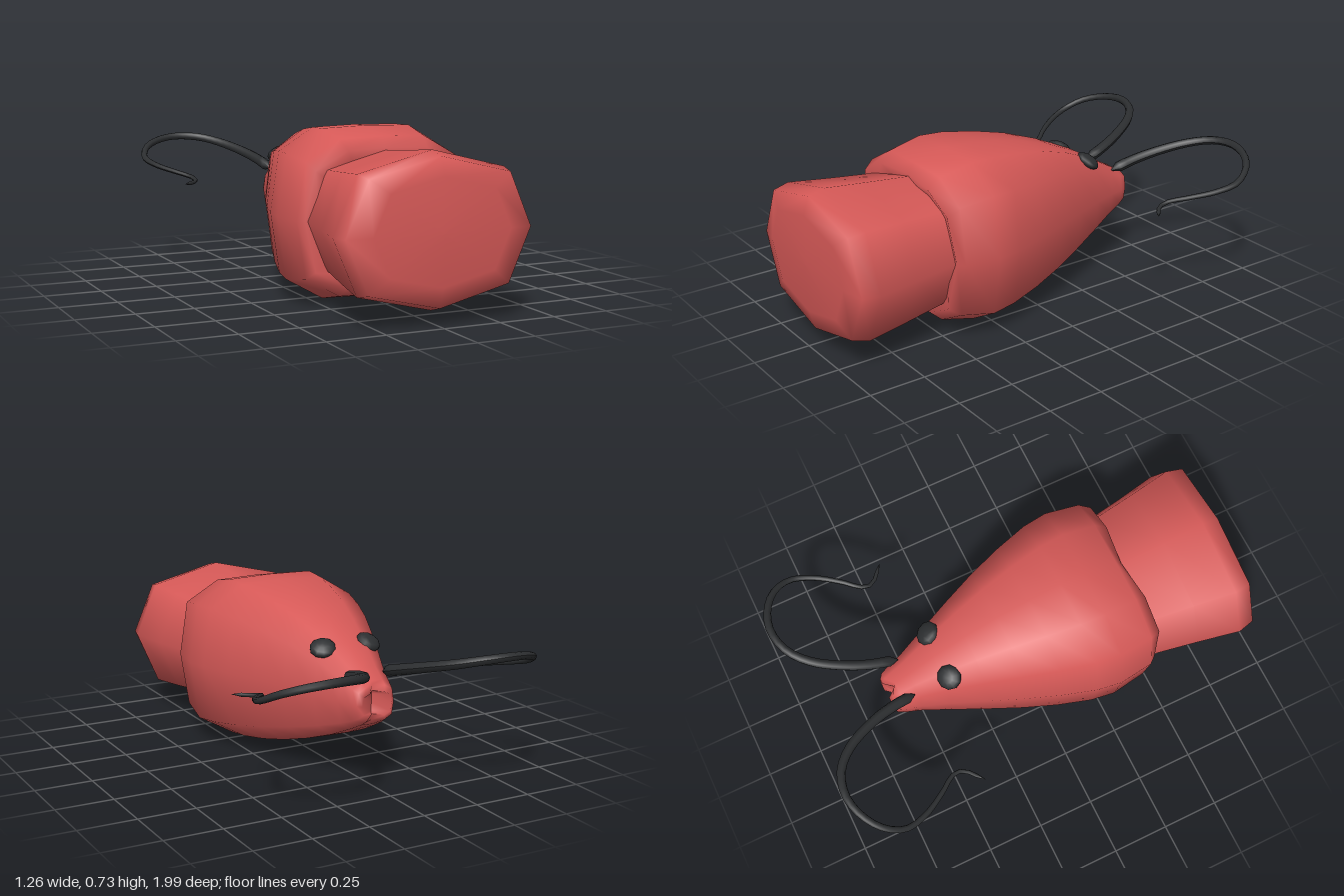
import * as THREE from 'three';

const red = new THREE.MeshStandardMaterial({ color: 0xd65957 });
red.name = 'shell red';
const black = new THREE.MeshStandardMaterial({ color: 0x2c2e30 });
black.name = 'charcoal';

// Skin a list of equal-length rings, each counter-clockwise seen from +z, ordered from +z to -z
function loft(rings) {
  const n = rings[0].length, index = [];
  for (let i = 0; i < rings.length - 1; i++) {
    for (let j = 0; j < n; j++) {
      const a = i * n + j, b = i * n + (j + 1) % n;
      index.push(a, a + n, b, b, a + n, b + n);
    }
  }
  const g = new THREE.BufferGeometry();
  g.setAttribute('position', new THREE.Float32BufferAttribute(rings.flat(2), 3));
  g.setIndex(index);
  g.computeVertexNormals();
  return g;
}

// Scale a unit outline to a section [z, halfWidth, top, bottom]
const section = (outline, [z, w, top, bottom]) => outline.map(([x, y]) =>
  [x * w, (top + bottom) / 2 + y * (top - bottom) / 2, z]);

function add(parent, name, geometry, material) {
  const mesh = new THREE.Mesh(geometry, material);
  mesh.name = name;
  parent.add(mesh);
  return mesh;
}

function headGeometry() {
  const outline = [[1, 0], [0.9, 0.72], [0.5, 0.985], [0, 1], [-0.5, 0.985], [-0.9, 0.72],
    [-1, 0], [-0.9, -0.73], [-0.5, -0.985], [0, -1], [0.5, -0.985], [0.9, -0.73]];
  const sections = [
    [0.46, 0, 0.37, 0.37], [0.49, 0.3, 0.61, 0.13],
    [0.50, 0.36, 0.655, 0.085], [0.465, 0.385, 0.70, 0.04],
    [0.31, 0.405, 0.732, 0.003], [0.2, 0.39, 0.728, 0.015], [0.05, 0.345, 0.707, 0.04],
    [-0.1, 0.29, 0.675, 0.075], [-0.25, 0.228, 0.625, 0.12], [-0.4, 0.165, 0.56, 0.175],
    [-0.52, 0.118, 0.49, 0.23], [-0.59, 0.1, 0.45, 0.265], [-0.622, 0.088, 0.435, 0.285],
    [-0.637, 0.07, 0.41, 0.31], [-0.59, 0, 0.41, 0.31],
  ];
  const rings = sections.map(s => section(outline, s));
  // Wavy rear rim
  rings[2].forEach((p, j) => { p[2] += 0.025 * Math.abs(Math.sin(j * Math.PI / 3)) - 0.005; });
  // Groove that splits the snout into two lobes
  for (const ring of rings.slice(-4, -1)) {
    for (const j of [3, 9]) ring[j][2] = Math.max(ring[j][2], -0.595);
  }
  return loft(rings);
}

function tailGeometry() {
  const outline = [[1, 0], [0.76, 0.75], [0, 1], [-0.76, 0.75],
    [-1, 0], [-0.76, -0.75], [0, -1], [0.76, -0.75]];
  return loft([
    [0.993, 0, 0.37, 0.37], [0.99, 0.3, 0.59, 0.16], [0.965, 0.405, 0.667, 0.075],
    [0.89, 0.423, 0.685, 0.053], [0.7, 0.385, 0.665, 0.07],
    [0.5, 0.35, 0.645, 0.095], [0.35, 0.33, 0.63, 0.11], [0.35, 0, 0.37, 0.37],
  ].map(s => section(outline, s)));
}

// Tube that thins from base to tip
function antennaGeometry(side) {
  const curve = new THREE.CatmullRomCurve3([
    [0.088, 0.465, -0.535], [0.105, 0.495, -0.64], [0.14, 0.525, -0.75], [0.21, 0.56, -0.88],
    [0.295, 0.583, -0.955], [0.4, 0.59, -0.98], [0.5, 0.578, -0.955], [0.58, 0.55, -0.895],
    [0.616, 0.51, -0.81], [0.59, 0.483, -0.71], [0.53, 0.46, -0.61], [0.475, 0.44, -0.535],
    [0.475, 0.428, -0.49], [0.55, 0.425, -0.42],
  ].map(([x, y, z]) => new THREE.Vector3(side * x, y, z)));
  const steps = 36, sides = 8;
  const g = new THREE.TubeGeometry(curve, steps, 1, sides);
  const pos = g.attributes.position, v = new THREE.Vector3();
  for (let i = 0; i < pos.count; i++) {
    const step = Math.floor(i / (sides + 1));
    const t = step / steps;
    const centre = curve.getPointAt(t);
    const end = step === 0 || step === steps ? 0.1 : 1;
    v.fromBufferAttribute(pos, i).sub(centre).multiplyScalar((0.025 - 0.017 * t) * end).add(centre);
    pos.setXYZ(i, v.x, v.y, v.z);
  }
  g.computeVertexNormals();
  return g;
}

export function createModel() {
  const model = new THREE.Group();
  model.name = 'antennaed creature';

  add(model, 'head', headGeometry(), red);
  add(model, 'tail', tailGeometry(), red);

  for (const side of [1, -1]) {
    const label = side > 0 ? 'left' : 'right';
    add(model, label + 'Antenna', antennaGeometry(side), black);
    // Flattened eye lying on the sloping brow
    const eye = add(model, label + 'Eye', new THREE.SphereGeometry(1, 10, 7), black);
    eye.scale.set(0.056, 0.027, 0.054);
    eye.position.set(side * 0.11, 0.553, -0.378);
    eye.rotation.set(-0.5, 0, -side * 0.25);
  }
  return model;
}
